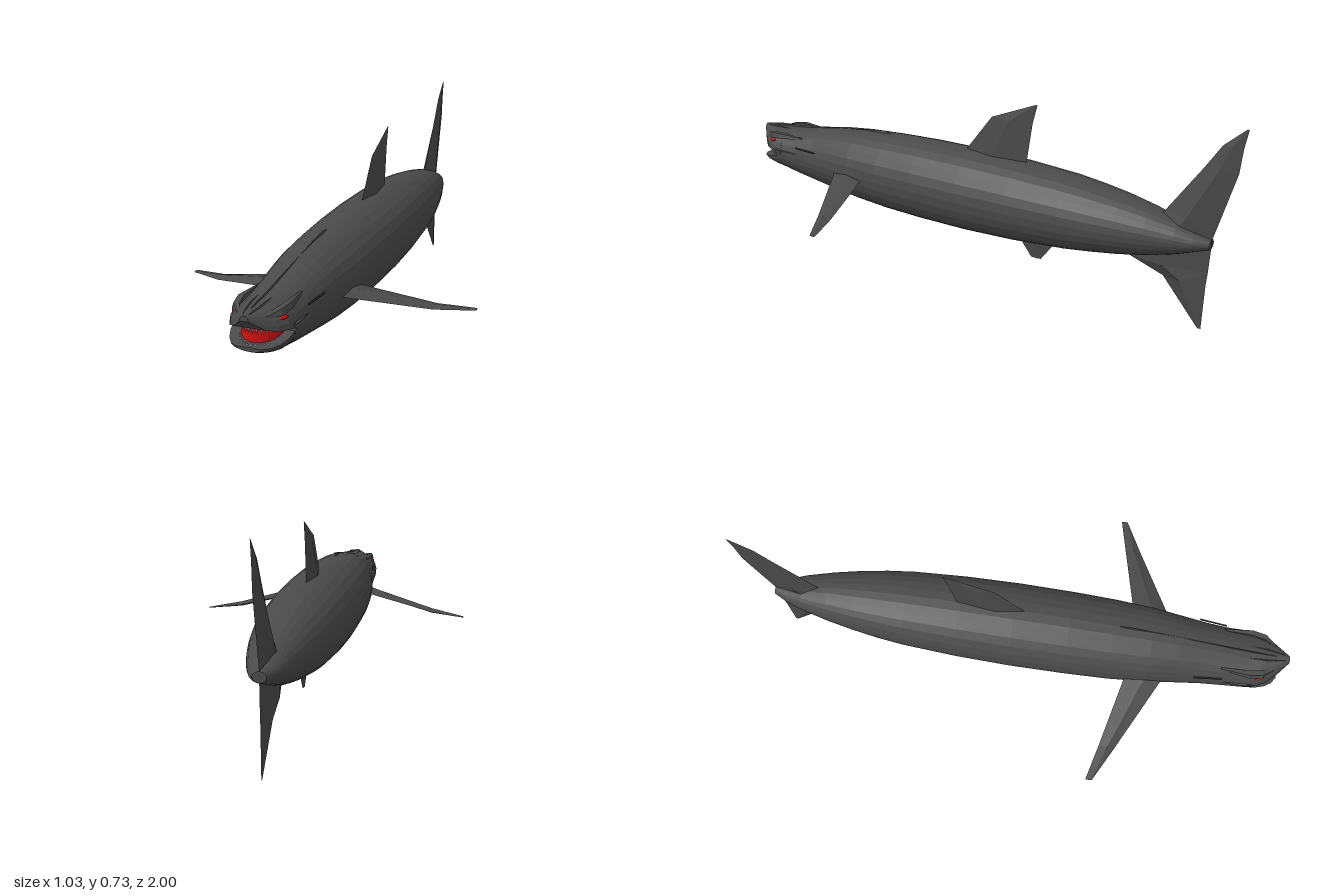
import * as THREE from 'three';

const V = (x, y, z) => new THREE.Vector3(x, y, z);
const material = (color) => new THREE.MeshStandardMaterial({ color, flatShading: true });

// Closed solid through a list of rings with equal point counts, faces always outward
function loft(rings) {
  const n = rings[0].length, last = (rings.length - 1) * n;
  const pts = rings.flat(), tris = [];
  for (let i = 0; i < rings.length - 1; i++) {
    for (let j = 0; j < n; j++) {
      const a = i * n + j, b = i * n + (j + 1) % n;
      tris.push([a, b, a + n], [b, b + n, a + n]);
    }
  }
  for (let j = 1; j < n - 1; j++) tris.push([0, j + 1, j], [last, last + j, last + j + 1]);
  let volume = 0;
  for (const [a, b, c] of tris) {
    const o = pts[0];
    volume += pts[a].clone().sub(o).dot(pts[b].clone().sub(o).cross(pts[c].clone().sub(o)));
  }
  if (volume < 0) tris.forEach((t) => t.reverse());
  const geo = new THREE.BufferGeometry().setFromPoints(pts);
  geo.setIndex(tris.flat());
  geo.computeVertexNormals();
  return geo;
}

// Arc of an elliptical section from angle a0 to a1
function arc(w, yMid, h, z, a0, a1, steps, closed) {
  const out = [];
  for (let i = 0; i < steps + (closed ? 0 : 1); i++) {
    const a = a0 + (a1 - a0) * i / steps;
    out.push(V(w * Math.cos(a), yMid + h * Math.sin(a), z));
  }
  return out;
}

// Diamond-section vertical fin: [y, leading z, trailing z, half thickness]
const verticalFin = (stations) => loft(stations.map(([y, l, t, h]) => {
  const m = l * 0.55 + t * 0.45;
  return [V(0, y, l), V(h, y, m), V(0, y, t), V(-h, y, m)];
}));

export function createModel() {
  const group = new THREE.Group();
  const skin = material(0x4a4a4a), dark = material(0x333333);
  const red = material(0xcc1010), white = material(0xf0f0f0);
  const add = (name, geo, mat, parent = group) => {
    const mesh = new THREE.Mesh(geo, mat);
    mesh.name = name;
    parent.add(mesh);
    return mesh;
  };

  // Body: [z, half width, bottom, top]
  const sections = [
    [-0.91, 0.022, 0.3, 0.335], [-0.86, 0.047, 0.283, 0.352], [-0.8, 0.067, 0.262, 0.376],
    [-0.7, 0.092, 0.235, 0.405], [-0.6, 0.112, 0.216, 0.427], [-0.5, 0.128, 0.202, 0.443],
    [-0.4, 0.139, 0.19, 0.456], [-0.2, 0.15, 0.176, 0.47], [0, 0.154, 0.17, 0.476],
    [0.2, 0.152, 0.172, 0.476], [0.36, 0.147, 0.178, 0.471], [0.5, 0.137, 0.189, 0.464],
    [0.6, 0.124, 0.2, 0.454], [0.7, 0.112, 0.215, 0.438], [0.8, 0.106, 0.233, 0.423],
    [0.87, 0.103, 0.248, 0.415],
  ];
  add('body', loft(sections.map(([z, w, b, t]) =>
    arc(w, (b + t) / 2, (t - b) / 2, z, 0, Math.PI * 2, 28, true))), skin);

  // Head: [z, half width, mouth line, outer height]
  const snout = [[0.85, 0.105, 0.33, 0.417], [0.9, 0.098, 0.34, 0.414], [0.935, 0.08, 0.343, 0.411],
    [0.965, 0.052, 0.355, 0.41], [1, 0.014, 0.39, 0.408]];
  add('snout', loft(snout.map(([z, w, m, t]) => arc(w, m, t - m, z, 0, Math.PI, 12))), skin);
  const jaw = [[0.85, 0.103, 0.33, 0.244], [0.9, 0.096, 0.312, 0.257], [0.935, 0.083, 0.303, 0.268],
    [0.96, 0.066, 0.3, 0.277], [0.975, 0.042, 0.298, 0.285]];
  add('lowerJaw', loft(jaw.map(([z, w, m, b]) => arc(w, m, m - b, z, Math.PI, Math.PI * 2, 12))), skin);

  // Mouth lining and two rows of teeth
  const lining = new THREE.CylinderGeometry(1, 1, 0.06, 20).scale(0.07, 1, 0.085);
  add('mouthLining', lining, red).position.set(0, 0.318, 0.86);
  const teeth = new THREE.Group();
  teeth.name = 'teeth';
  group.add(teeth);
  const tooth = new THREE.ConeGeometry(0.004, 0.016, 4);
  for (let i = -5; i <= 5; i++) {
    const a = i * 0.2;
    add('lowerTooth', tooth, white, teeth).position.set(0.066 * Math.sin(a), 0.307, 0.87 + 0.093 * Math.cos(a));
    const upper = add('upperTooth', tooth, white, teeth);
    upper.position.set(0.066 * Math.sin(a), 0.338, 0.865 + 0.085 * Math.cos(a));
    upper.rotation.x = Math.PI;
  }

  // Vertical fins
  add('dorsalFin', verticalFin([[0.44, 0.07, -0.21, 0.018], [0.476, 0.035, -0.215, 0.016],
    [0.615, -0.07, -0.235, 0.008], [0.687, -0.245, -0.253, 0.001]]), skin);
  add('ventralFin', verticalFin([[0.2, -0.17, -0.35, 0.014], [0.175, -0.19, -0.33, 0.012],
    [0.108, -0.24, -0.28, 0.003]]), skin);
  add('upperTailFin', verticalFin([[0.33, -0.66, -0.91, 0.03], [0.4, -0.74, -0.93, 0.026],
    [0.58, -0.865, -0.98, 0.012], [0.665, -0.92, -0.988, 0.006], [0.73, -0.993, -1, 0.001]]), skin);
  add('lowerTailFin', verticalFin([[0.335, -0.6, -0.912, 0.028], [0.212, -0.62, -0.906, 0.024],
    [0.165, -0.75, -0.902, 0.018], [0, -0.885, -0.897, 0.001]]), skin);

  // Low crest behind the head
  add('headCrest', loft([[0.37, 0.47, 0.006], [0.41, 0.478, 0.006], [0.7, 0.442, 0.003], [0.95, 0.414, 0.002]]
    .map(([z, y, w]) => [V(-w, y - 0.02, z), V(w, y - 0.02, z), V(0, y, z)])), skin);

  for (const s of [1, -1]) {
    const side = s > 0 ? 'left' : 'right';
    // Pectoral fin: [x, y, leading z, trailing z, half thickness]
    add(side + 'PectoralFin', loft([[0.1, 0.32, 0.575, 0.415, 0.014], [0.14, 0.312, 0.553, 0.425, 0.013],
      [0.39, 0.259, 0.428, 0.37, 0.009], [0.517, 0.248, 0.363, 0.34, 0.001]].map(([x, y, l, t, h]) => {
      const m = l * 0.55 + t * 0.45;
      return [V(s * x, y, l), V(s * x, y + h, m), V(s * x, y, t), V(s * x, y - h, m)];
    })), skin);

    // Eye under a sloping brow
    const eye = add(side + 'Eye', new THREE.SphereGeometry(1, 10, 8).scale(0.008, 0.007, 0.02), red);
    eye.position.set(s * 0.078, 0.376, 0.905);
    eye.rotation.y = -s * 0.5;
    add(side + 'Brow', loft([[0.76, 0.075, 0.4, 0.004], [0.86, 0.08, 0.397, 0.012],
      [0.91, 0.071, 0.392, 0.013], [0.95, 0.045, 0.386, 0.006]].map(([z, x, y, r]) =>
      [V(s * (x - r), y - r / 2, z), V(s * (x + r), y - r / 2, z), V(s * (x + r / 2), y + r, z), V(s * (x - r), y + r, z)])), skin);

    // Nose ridge, cheek ridge and gill line
    add(side + 'NoseRidge', loft([[0.82, 0.025, 0.41, 0.004], [0.92, 0.02, 0.409, 0.006], [0.985, 0.01, 0.405, 0.003]]
      .map(([z, x, y, r]) => [V(s * (x - r), y - r, z), V(s * (x + r), y - r, z), V(s * x, y + r, z)])), skin);
    add(side + 'CheekRidge', loft([[0.74, 0.102, 0.345, 0.003], [0.86, 0.1, 0.345, 0.008], [0.93, 0.077, 0.345, 0.006]]
      .map(([z, x, y, r]) => [V(s * (x - r), y - r, z), V(s * (x + r), y, z), V(s * (x - r), y + r, z)])), skin);
    const gill = add(side + 'GillLine', new THREE.BoxGeometry(0.005, 0.004, 0.1), dark);
    gill.position.set(s * 0.108, 0.37, 0.72);
    gill.rotation.y = -s * 0.1;
  }
  return group;
}
